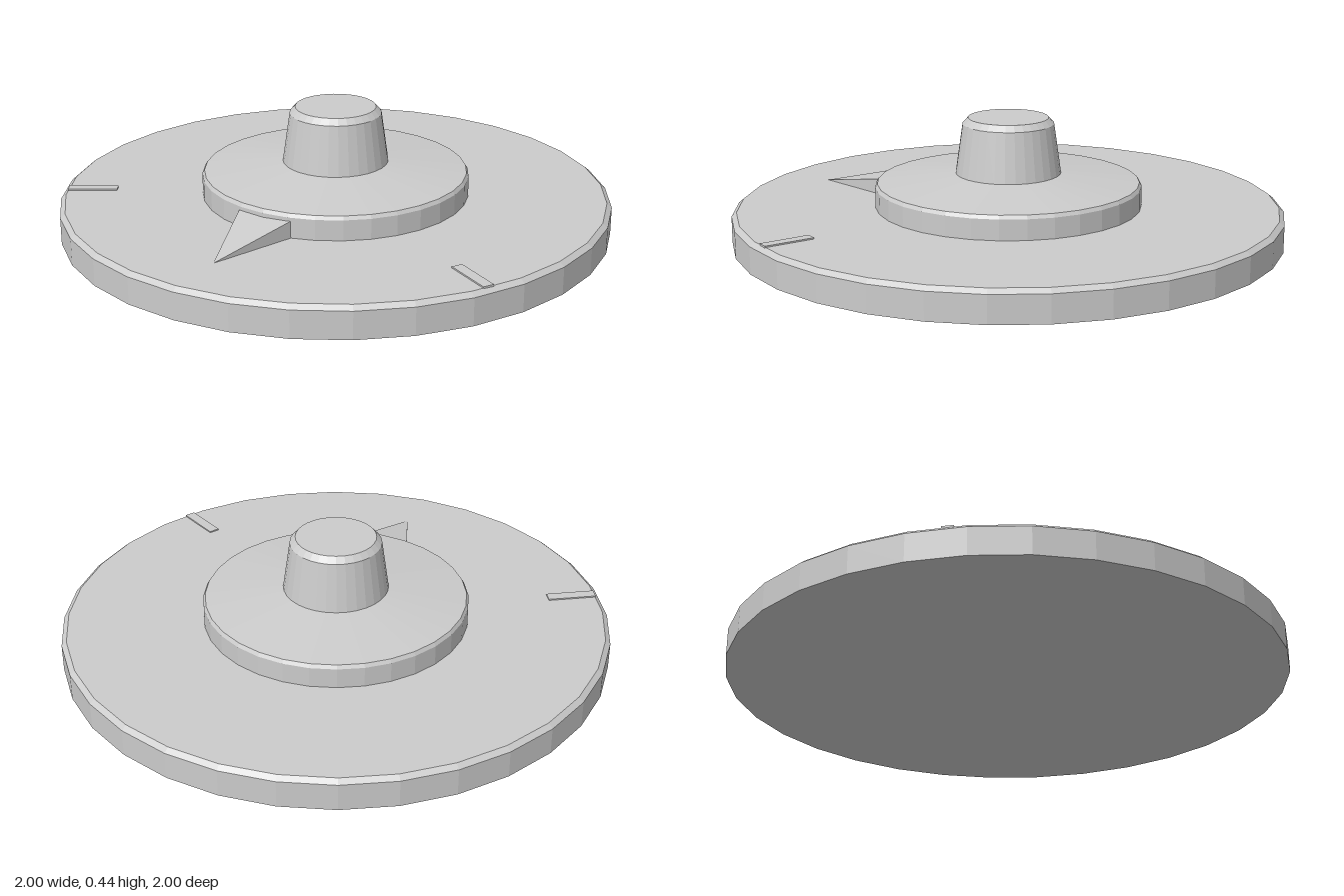
import * as THREE from 'three';

const SIDES = 32;
const DISC_TOP = 0.113;

export function createModel() {
  const group = new THREE.Group();
  group.name = 'rotaryDial';
  const material = new THREE.MeshStandardMaterial({ color: 0xcccccc, flatShading: true });

  const add = (name, geometry) => {
    const mesh = new THREE.Mesh(geometry, material);
    mesh.name = name;
    group.add(mesh);
    return mesh;
  };
  const turned = (name, profile) =>
    add(name, new THREE.LatheGeometry(profile.map(([r, y]) => new THREE.Vector2(r, y)), SIDES));

  // Base disc with a small bevel on its top rim
  turned('baseDisc', [[0, 0], [1, 0], [1, 0.098], [0.982, DISC_TOP], [0, DISC_TOP]]);

  // Stepped hub with a shallow conical top
  turned('hub', [[0, 0.1], [0.485, 0.1], [0.485, 0.187], [0.477, 0.2], [0.19, 0.232], [0, 0.232]]);

  // Tapered grip with a bevelled top edge
  turned('grip', [[0, 0.22], [0.194, 0.22], [0.192, 0.232], [0.166, 0.413], [0.146, 0.435], [0, 0.435]]);

  // Pointer: a box whose front end is pinched down to a tip on the disc
  const wedge = new THREE.BoxGeometry(0.21, 0.075, 0.4);
  wedge.translate(0, 0.1375, 0.58);
  const p = wedge.attributes.position;
  for (let i = 0; i < p.count; i++) {
    if (p.getZ(i) > 0.6) p.setXYZ(i, 0, Math.min(p.getY(i), DISC_TOP), 0.78);
    else p.setZ(i, 0.47);
  }
  wedge.computeVertexNormals();
  add('pointer', wedge);

  // Thin radial index marks, 60 degrees either side of the pointer
  for (const side of [-1, 1]) {
    const bar = new THREE.BoxGeometry(0.04, 0.018, 0.18);
    bar.translate(0, 0.109, 0.89);
    bar.rotateY(side * Math.PI / 3);
    add(side > 0 ? 'leftIndexMark' : 'rightIndexMark', bar);
  }

  return group;
}
